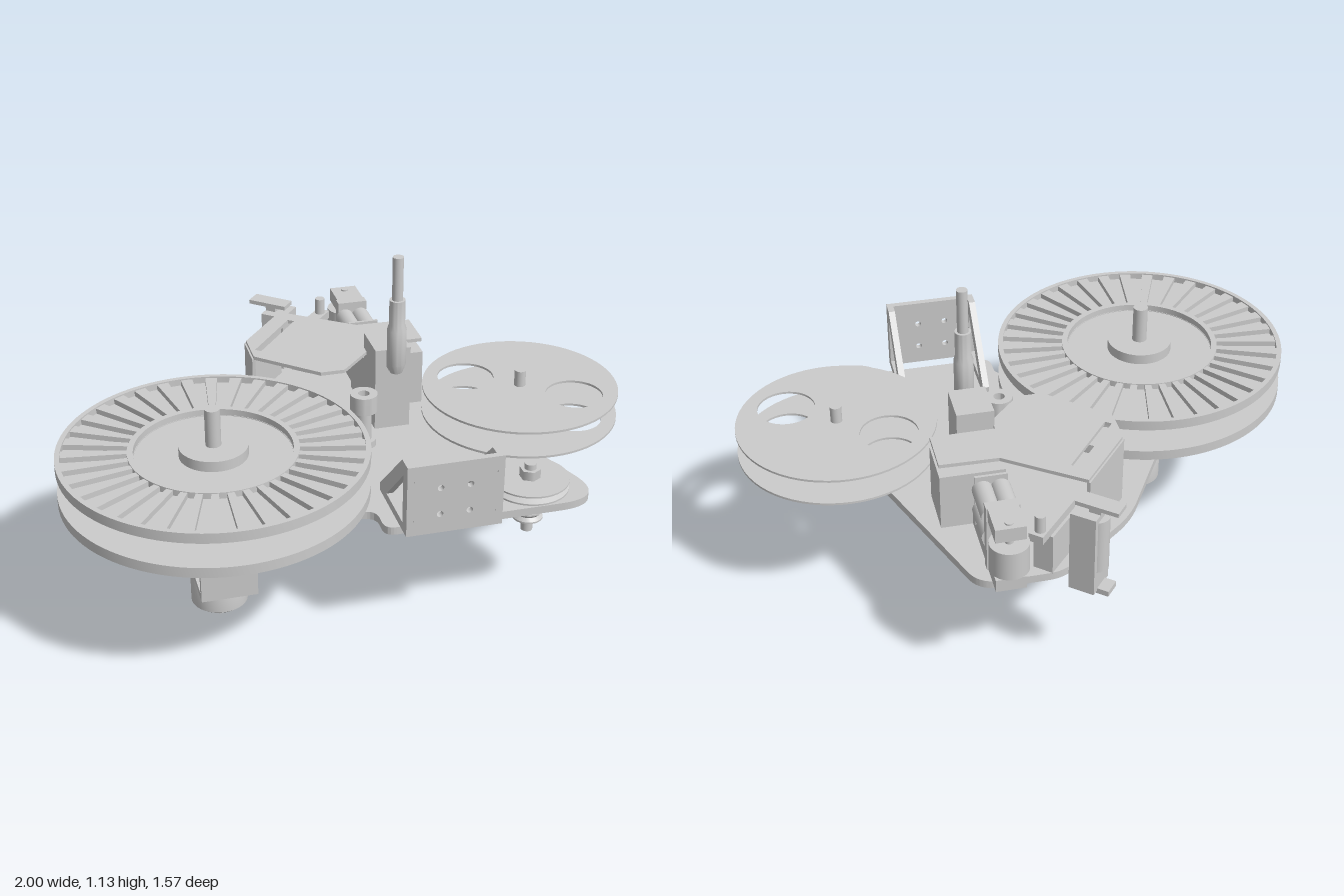
import * as THREE from 'three';
import { toCreasedNormals } from 'three/addons/utils/BufferGeometryUtils.js';

const MAT = new THREE.MeshStandardMaterial({ color: 0xcccccc, side: THREE.DoubleSide });

function add(parent, name, geo, x = 0, y = 0, z = 0) {
  const m = new THREE.Mesh(geo, MAT);
  m.name = name;
  m.position.set(x, y, z);
  parent.add(m);
  return m;
}
function part(parent, name, x = 0, z = 0) {
  const g = new THREE.Group();
  g.name = name;
  g.position.set(x, 0, z);
  parent.add(g);
  return g;
}
// box given by its limits
const box = (p, name, x0, x1, y0, y1, z0, z1) =>
  add(p, name, new THREE.BoxGeometry(x1 - x0, y1 - y0, z1 - z0), (x0 + x1) / 2, (y0 + y1) / 2, (z0 + z1) / 2);
// upright cylinder from y0 to y1
const rod = (p, name, r, y0, y1, x = 0, z = 0, sides = 32) =>
  add(p, name, new THREE.CylinderGeometry(r, r, y1 - y0, sides), x, (y0 + y1) / 2, z);
// turned part from [radius, y] points, bottom to top on the outside
const turned = (p, name, pts, sides = 48) =>
  add(p, name, toCreasedNormals(new THREE.LatheGeometry(pts.map(([r, y]) => new THREE.Vector2(r, y)), sides), 0.5));

// outline with a rounding radius per corner: [x, z, radius]
function outline(pts) {
  const s = new THREE.Shape();
  const v = pts.map(([x, z]) => new THREE.Vector2(x, -z));
  v.forEach((c, i) => {
    const r = pts[i][2] || 0;
    const a = v[(i + v.length - 1) % v.length], b = v[(i + 1) % v.length];
    const p = c.clone().add(a.clone().sub(c).setLength(r));
    const q = c.clone().add(b.clone().sub(c).setLength(r));
    if (i === 0) s.moveTo(p.x, p.y); else s.lineTo(p.x, p.y);
    if (r) s.quadraticCurveTo(c.x, c.y, q.x, q.y);
  });
  s.closePath();
  return s;
}
function circle(x, z, r, Type = THREE.Path) {
  const c = new Type();
  c.absarc(x, -z, r, 0, Math.PI * 2);
  return c;
}
// horizontal sheet from y0 to y1
function sheet(p, name, shape, y0, y1, holes = []) {
  shape.holes.push(...holes);
  const g = new THREE.ExtrudeGeometry(shape, { depth: y1 - y0, bevelEnabled: false, curveSegments: 32 });
  g.rotateX(-Math.PI / 2);
  return add(p, name, toCreasedNormals(g, 0.5), 0, y0, 0);
}
// grooved belt pulley
const pulley = (p, name, r, y0, y1) => {
  const m = (y0 + y1) / 2;
  return turned(p, name, [[0, y0], [r, y0], [r, y0 + 0.006], [r * 0.8, m], [r, y1 - 0.006], [r, y1], [0, y1]]);
};

function bigReel(root) {
  const g = part(root, 'bigReel', -0.485, 0.265);
  turned(g, 'reelCore', [[0, 0.52], [0.265, 0.52], [0.265, 0.63], [0, 0.63]], 64);
  for (const [y, dir] of [[0.62, 1], [0.532, -1]]) {
    const f = part(g, dir > 0 ? 'upperFlange' : 'lowerFlange');
    const ring = (name, r0, r1, h) => {
      const a = dir > 0 ? y : y - h;
      turned(f, name, [[r0, a], [r1, a], [r1, a + h], [r0, a + h], [r0, a]], 96);
    };
    ring('flangeWeb', 0.26, 0.505, 0.012);
    ring('flangeRim', 0.498, 0.515, 0.036);
    ring('flangeInnerRing', 0.262, 0.282, 0.034);
    // radial ribs, widening outwards
    for (let i = 0; i < 36; i++) {
      const geo = new THREE.BoxGeometry(0.23, 0.03, 0.03);
      const pos = geo.attributes.position;
      for (let k = 0; k < pos.count; k++) pos.setZ(k, pos.getZ(k) * (pos.getX(k) > 0 ? 1.4 : 0.75));
      geo.translate(0.388, 0, 0).rotateY((i / 36) * Math.PI * 2);
      geo.computeVertexNormals();
      add(f, 'flangeRib', geo, 0, y + dir * 0.016, 0);
    }
  }
  rod(g, 'hubCap', 0.115, 0.63, 0.667);
  rod(g, 'reelShaft', 0.026, 0.28, 0.8);
  rod(g, 'upperBearing', 0.06, 0.45, 0.485);
  rod(g, 'bearingFlange', 0.09, 0.48, 0.522);
  rod(g, 'lowerBearing', 0.05, 0.375, 0.43);
  pulley(g, 'reelPulley', 0.133, 0.343, 0.378);
  rod(g, 'shaftNut', 0.035, 0.31, 0.343, 0, 0, 6);
}

function driveMotor(root) {
  const g = part(root, 'driveMotor', -0.485, 0.265);
  turned(g, 'motorBody', [[0, 0.055], [0.085, 0.055], [0.097, 0.065], [0.097, 0.18], [0.09, 0.195], [0, 0.195]]);
  rod(g, 'motorShaft', 0.012, 0, 0.255);
  rod(g, 'motorBoss', 0.028, 0.19, 0.235);
  sheet(g, 'motorMount', outline([[-0.095, -0.09, 0.08], [0.095, -0.09, 0.08], [0.095, 0.2], [-0.095, 0.2]]), 0.193, 0.215);
  box(g, 'motorBracket', -0.095, 0.095, 0.193, 0.43, 0.178, 0.2);
}

function smallReel(root) {
  const g = part(root, 'smallReel', 0.655, 0.055);
  for (const y of [0.525, 0.618])
    sheet(g, 'reelDisc', circle(0, 0, 0.345, THREE.Shape), y, y + 0.008, [circle(-0.165, -0.11, 0.1), circle(0.16, 0.115, 0.1)]);
  rod(g, 'reelHub', 0.063, 0.525, 0.626);
  rod(g, 'reelShaft', 0.02, 0.29, 0.685);
  rod(g, 'shaftNut', 0.034, 0.45, 0.49, 0, 0, 6);
  rod(g, 'shaftCollar', 0.045, 0.385, 0.43);
}

function beltPulley(root) {
  const g = part(root, 'beltPulley', 0.55, 0.455);
  pulley(g, 'largePulley', 0.133, 0.463, 0.497);
  rod(g, 'pulleyShaft', 0.02, 0.29, 0.55);
  rod(g, 'topNut', 0.036, 0.497, 0.53, 0, 0, 6);
  rod(g, 'bearing', 0.045, 0.385, 0.465);
  pulley(g, 'smallPulley', 0.052, 0.34, 0.375);
}

function frontBracket(root) {
  const g = part(root, 'frontBracket');
  const face = new THREE.Shape([[0.06, 0.455], [0.385, 0.455], [0.385, 0.71], [0.06, 0.71]].map(a => new THREE.Vector2(...a)));
  const spots = [];
  for (const x of [0.172, 0.272]) for (const y of [0.525, 0.622]) spots.push([x, y, 0.011]);
  for (const x of [0.078, 0.367]) for (const y of [0.51, 0.655]) spots.push([x, y, 0.007]);
  for (const [x, y, r] of spots) face.holes.push(new THREE.Path().absarc(x, y, r, 0, Math.PI * 2));
  add(g, 'facePlate', new THREE.ExtrudeGeometry(face, { depth: 0.022, bevelEnabled: false }), 0, 0, 0.622);
  // side gussets with a triangular window, drawn in (z, y)
  const v = a => new THREE.Vector2(...a);
  const side = new THREE.Shape([[0.345, 0.455], [0.644, 0.455], [0.644, 0.71], [0.585, 0.71], [0.345, 0.485]].map(v));
  side.holes.push(new THREE.Path([[0.6, 0.485], [0.6, 0.66], [0.42, 0.485]].map(v)));
  for (const x of [0.06, 0.362]) {
    const geo = new THREE.ExtrudeGeometry(side, { depth: 0.023, bevelEnabled: false });
    geo.rotateY(-Math.PI / 2);
    add(g, 'sideGusset', geo, x + 0.023, 0, 0);
  }
}

function rearCover(root) {
  const g = part(root, 'rearCover');
  const slot = new THREE.Path([[-0.225, 0.29], [-0.205, 0.275], [-0.035, 0.485], [-0.055, 0.5]].map(a => new THREE.Vector2(...a)));
  const lid = [[-0.07, -0.575], [0.18, -0.395], [0.38, -0.39], [0.38, -0.23], [0.16, -0.23], [0.16, -0.18],
    [0.045, -0.06], [-0.04, -0.06], [-0.24, -0.24], [-0.24, -0.37]];
  sheet(g, 'lid', outline(lid), 0.695, 0.708, [slot]);
  // upright walls under the outer edges
  for (const [a, b] of [[8, 9], [9, 0]]) {
    const [x0, z0] = lid[a], [x1, z1] = lid[b];
    const w = add(g, 'wall', new THREE.BoxGeometry(Math.hypot(x1 - x0, z1 - z0), 0.245, 0.012), (x0 + x1) / 2, 0.575, (z0 + z1) / 2);
    w.rotation.y = -Math.atan2(z1 - z0, x1 - x0);
  }
  box(g, 'gearbox', 0.16, 0.38, 0.45, 0.66, -0.395, -0.215);
}

function postDrive(root) {
  const g = part(root, 'postDrive');
  box(g, 'servoBody', 0.157, 0.285, 0.455, 0.765, -0.21, -0.06);
  box(g, 'postArm', 0.197, 0.247, 0.7, 0.75, -0.08, -0.025);
  const post = part(g, 'guidePost', 0.222, -0.025);
  turned(post, 'postSleeve', [[0, 0.695], [0.022, 0.695], [0.034, 0.73], [0.034, 0.86], [0.028, 0.88], [0.028, 0.972], [0, 0.972]], 32);
  rod(post, 'postPin', 0.019, 0.97, 1.13);
  const under = part(g, 'underPulley', 0.222, -0.14);
  pulley(under, 'pulley', 0.07, 0.392, 0.42);
  rod(under, 'nut', 0.045, 0.375, 0.4, 0, 0, 6);
}

function rollerArm(root) {
  const g = part(root, 'rollerArm', 0.222, 0);
  for (const x of [-0.03, 0.03]) for (const y of [0.56, 0.64])
    add(g, 'plunger', new THREE.CylinderGeometry(0.034, 0.034, 0.15, 24).rotateX(Math.PI / 2), x, y, -0.53);
  box(g, 'armBase', -0.05, 0.05, 0.455, 0.505, -0.6, -0.395);
  box(g, 'armRod', -0.015, 0.015, 0.585, 0.615, -0.66, -0.39);
  box(g, 'coilPlate', -0.055, 0.055, 0.5, 0.69, -0.46, -0.45);
  box(g, 'backPlate', -0.055, 0.055, 0.455, 0.7, -0.64, -0.605);
  for (const [a, b] of [[0.455, 0.5], [0.65, 0.7]]) box(g, 'rollerFork', -0.05, 0.05, a, b, -0.75, -0.61);
  rod(g, 'pinchRoller', 0.065, 0.525, 0.627, 0, -0.722);
  rod(g, 'rollerPin', 0.014, 0.46, 0.705, 0, -0.722);
}

function solenoid(root) {
  const g = part(root, 'solenoid', -0.07, -0.685);
  g.rotation.y = -0.7;
  box(g, 'frame', -0.02, 0.07, 0.37, 0.67, -0.055, 0.055);
  add(g, 'coil', new THREE.CylinderGeometry(0.042, 0.042, 0.2, 24), 0.0, 0.55, 0);
  box(g, 'topTab', -0.085, 0.065, 0.69, 0.705, -0.03, 0.03);
  box(g, 'tabStem', -0.02, 0.02, 0.66, 0.695, -0.02, 0.02);
  box(g, 'lowerFoot', -0.06, 0.07, 0.36, 0.38, -0.03, 0.03);
  // link and mounting blocks reaching toward the cover
  const l = part(root, 'linkBlocks', 0.07, -0.64);
  l.rotation.y = 0.85;
  box(l, 'linkBar', -0.12, 0.1, 0.6, 0.63, -0.025, 0.025);
  box(l, 'linkBase', -0.1, 0.05, 0.45, 0.6, -0.035, 0.035);
  rod(l, 'linkPin', 0.018, 0.62, 0.69, 0.07, 0);
}

export function createModel() {
  const root = new THREE.Group();
  root.name = 'reelMechanism';
  sheet(root, 'basePlate', outline([
    [0.04, -0.7, 0.05], [0.315, -0.7, 0.07], [0.785, 0.58, 0.17], [0.01, 0.58, 0.04], [0.01, 0.47, 0.04],
    [-0.4, 0.41, 0.05], [-0.625, 0.41, 0.13], [-0.625, 0.13, 0.13], [-0.42, -0.18, 0.03], [-0.25, -0.47, 0.08]]), 0.427, 0.455);
  bigReel(root);
  driveMotor(root);
  smallReel(root);
  beltPulley(root);
  frontBracket(root);
  rearCover(root);
  postDrive(root);
  rollerArm(root);
  solenoid(root);
  const s = part(root, 'standingPost', 0.09, 0.03);
  rod(s, 'postStem', 0.028, 0.45, 0.6);
  rod(s, 'postFoot', 0.045, 0.45, 0.48);
  turned(s, 'postCap', [[0.02, 0.59], [0.048, 0.59], [0.048, 0.655], [0.02, 0.655], [0.02, 0.59]], 32);
  // small bolt heads under the plate
  for (const [x, z] of [[0.12, 0.52], [0.33, 0.52], [0.22, 0.05]]) rod(root, 'boltHead', 0.014, 0.418, 0.43, x, z, 6);
  return root;
}
